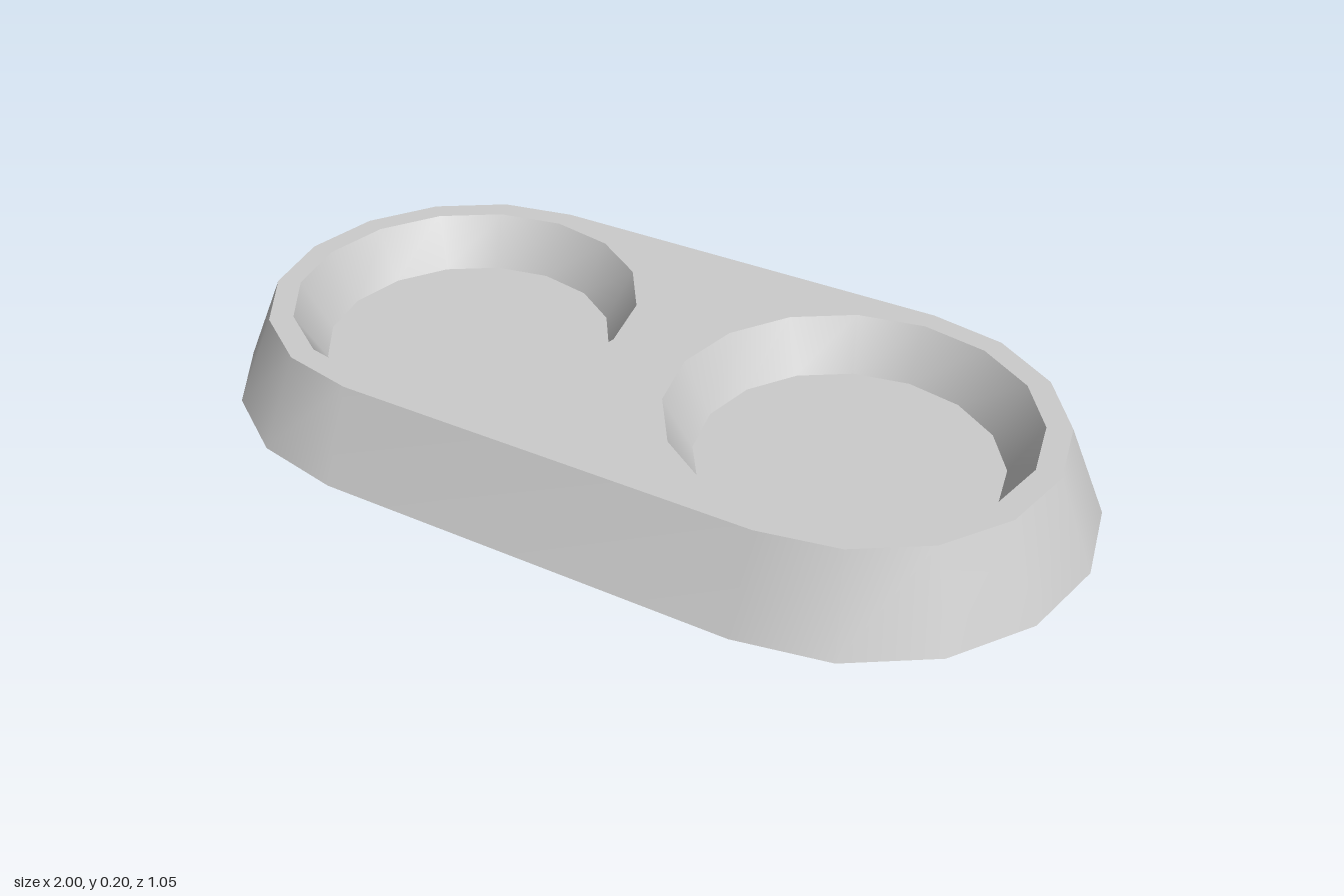
import * as THREE from 'three';

const CENTRE = 0.475;                 // x of each bowl and of each rounded end
const HEIGHT = 0.2, FLOOR = 0.086;    // tray top and bowl floor
const BASE_R = 0.525, TOP_R = 0.44;   // end radius at the ground and at the top
const RIM_R = 0.387, FLOOR_R = 0.323; // bowl radius at the rim and at the floor

const material = new THREE.MeshStandardMaterial({ color: 0xcccccc });

// Points on an arc in steps of 22.5 degrees
function arc(cx, r, start, steps) {
  const points = [];
  for (let i = 0; i < steps; i++) {
    const a = start + (i * Math.PI) / 8;
    points.push(new THREE.Vector2(cx + r * Math.cos(a), r * Math.sin(a)));
  }
  return points;
}

const circle = (cx, r) => arc(cx, r, 0, 16);
const stadium = (r) => [...arc(CENTRE, r, -Math.PI / 2, 9), ...arc(-CENTRE, r, Math.PI / 2, 9)];

// Smooth wall between two rings; it faces inward when ringA is the upper one
function wall(ringA, yA, ringB, yB) {
  const n = ringA.length, positions = [], index = [];
  ringA.forEach((p) => positions.push(p.x, yA, -p.y));
  ringB.forEach((p) => positions.push(p.x, yB, -p.y));
  for (let i = 0; i < n; i++) {
    const j = (i + 1) % n;
    index.push(i, j, n + j, i, n + j, n + i);
  }
  const geometry = new THREE.BufferGeometry();
  geometry.setAttribute('position', new THREE.Float32BufferAttribute(positions, 3));
  geometry.setIndex(index);
  geometry.computeVertexNormals();
  return geometry;
}

// Flat horizontal face, optionally with holes
function flat(ring, y, holes = [], up = true) {
  const shape = new THREE.Shape(ring);
  shape.holes = holes.map((h) => new THREE.Path(h));
  return new THREE.ShapeGeometry(shape).rotateX(up ? -Math.PI / 2 : Math.PI / 2).translate(0, y, 0);
}

function add(parent, name, geometry) {
  const mesh = new THREE.Mesh(geometry, material);
  mesh.name = name;
  parent.add(mesh);
}

export function createModel() {
  const model = new THREE.Group();
  model.name = 'doubleBowlTray';

  // Tapered tray body
  const sides = [-1, 1];
  add(model, 'traySide', wall(stadium(BASE_R), 0, stadium(TOP_R), HEIGHT));
  add(model, 'trayTop', flat(stadium(TOP_R), HEIGHT, sides.map((s) => circle(s * CENTRE, RIM_R))));
  add(model, 'trayBottom', flat(stadium(BASE_R), 0, [], false));

  // Recessed bowls
  for (const s of sides) {
    const bowl = new THREE.Group();
    bowl.name = s > 0 ? 'leftBowl' : 'rightBowl';
    const rim = circle(s * CENTRE, RIM_R), floor = circle(s * CENTRE, FLOOR_R);
    add(bowl, 'bowlWall', wall(rim, HEIGHT, floor, FLOOR));
    add(bowl, 'bowlFloor', flat(floor, FLOOR));
    model.add(bowl);
  }
  return model;
}
